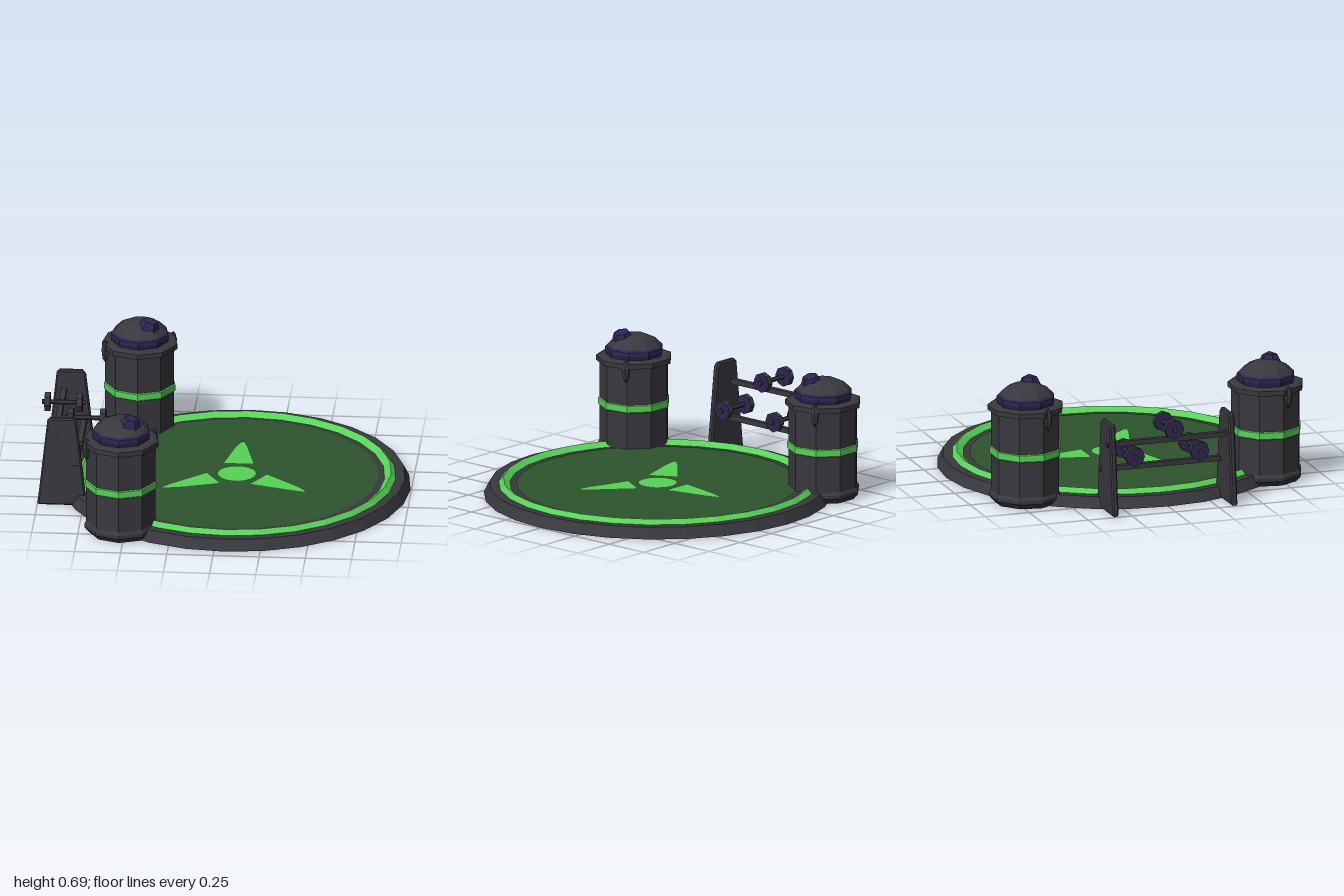
import * as THREE from 'three';

const mat = (name, color) => {
  const m = new THREE.MeshStandardMaterial({ color, flatShading: true });
  m.name = name;
  return m;
};

export function createModel() {
  const grey = mat('dark grey metal', 0x39383e);
  const green = mat('bright green', 0x55d455);
  const floorGreen = mat('dark green', 0x2e552e);
  const purple = mat('deep purple', 0x2f2550);

  const root = new THREE.Group();
  root.name = 'trainingPlatform';

  const add = (parent, name, geometry, material, x = 0, y = 0, z = 0) => {
    const m = new THREE.Mesh(geometry, material);
    m.name = name;
    m.position.set(x, y, z);
    parent.add(m);
    return m;
  };
  const lathe = (points, sides) =>
    new THREE.LatheGeometry(points.map(([r, y]) => new THREE.Vector2(r, y)), sides);
  const group = (name, x, y, z) => {
    const g = new THREE.Group();
    g.name = name;
    g.position.set(x, y, z);
    root.add(g);
    return g;
  };

  // Round platform with a raised ridge and a floor disc
  const platform = group('platform', 0.055, 0, 0);
  add(platform, 'base', lathe([[0, 0], [0.94, 0], [0.91, 0.06], [0, 0.06]], 28), grey);
  add(platform, 'ridge', lathe([[0.86, 0.06], [0.835, 0.086], [0.8, 0.06]], 28), green);
  add(platform, 'floor', new THREE.CircleGeometry(0.765, 28).rotateX(-Math.PI / 2), floorGreen, 0, 0.063);

  // Three-bladed floor emblem
  add(platform, 'emblemHub', new THREE.CircleGeometry(0.106, 18).rotateX(-Math.PI / 2), green, 0, 0.067);
  const blade = new THREE.Shape([
    [-0.083, 0.14], [0.083, 0.14], [0.032, 0.37], [0.012, 0.435],
    [0, 0.45], [-0.012, 0.435], [-0.035, 0.37],
  ].map(([x, y]) => new THREE.Vector2(x, y)));
  const bladeGeo = new THREE.ShapeGeometry(blade).rotateX(-Math.PI / 2);
  for (let i = 0; i < 3; i++) {
    add(platform, 'emblemBlade', bladeGeo, green, 0, 0.067).rotation.y = i * Math.PI * 2 / 3;
  }

  // Two identical pillars
  const bodyGeo = lathe([[0, 0], [0.175, 0], [0.2, 0.03], [0.2, 0.05], [0.19, 0.065], [0.19, 0.52]], 9);
  const bandGeo = lathe([[0.188, 0.262], [0.196, 0.268], [0.196, 0.303], [0.188, 0.309]], 9);
  const rimGeo = lathe([[0.18, 0.508], [0.208, 0.512], [0.208, 0.54], [0.19, 0.548], [0, 0.548]], 9);
  const collarGeo = lathe([[0.152, 0.54], [0.16, 0.57], [0.158, 0.59], [0.148, 0.6]], 9);
  const domeGeo = lathe([[0.15, 0.598], [0.115, 0.632], [0.065, 0.655], [0, 0.663]], 9);
  const fangGeo = lathe([[0, -0.07], [0.016, -0.045], [0.023, 0.01], [0.013, 0.045], [0, 0.06]], 6);
  for (const z of [0.687, -0.687]) {
    const pillar = group('pillar', -0.52, 0, z);
    add(pillar, 'pillarBody', bodyGeo, grey);
    add(pillar, 'pillarBand', bandGeo, green);
    add(pillar, 'pillarRim', rimGeo, grey);
    add(pillar, 'pillarCollar', collarGeo, purple);
    add(pillar, 'pillarDome', domeGeo, grey);
    add(pillar, 'pillarKnob', new THREE.SphereGeometry(0.06, 6, 4), purple, 0.05, 0.633, 0.04)
      .rotation.z = -0.25;
    for (const [x, fz] of [[0.172, -0.093], [-0.184, 0.062]]) {
      add(pillar, 'rimSpike', fangGeo, grey, x, 0.502, fz);
    }
  }

  // Weight rack: two tapered side plates joined by two rails
  const rack = group('weightRack', 0, 0, 0);
  const outline = new THREE.Shape([
    [-0.99, 0.01], [-0.985, 0.008], [-0.75, 0.008], [-0.742, 0.016],
    [-0.795, 0.48], [-0.81, 0.497], [-0.925, 0.497], [-0.938, 0.485],
  ].map(([x, y]) => new THREE.Vector2(x, y)));
  const plateGeo = new THREE.ExtrudeGeometry(outline, {
    depth: 0.018, bevelEnabled: true, bevelSize: 0.008, bevelThickness: 0.008, bevelSegments: 1,
  }).translate(0, 0, -0.009);
  for (const side of [1, -1]) add(rack, 'rackSide', plateGeo, grey, 0, 0, side * 0.34);
  for (const [x, y] of [[-0.905, 0.385], [-0.795, 0.22]]) {
    add(rack, 'rackRail', new THREE.BoxGeometry(0.03, 0.028, 0.725), grey, x, y, 0);
  }

  // Dumbbells lying across the rails
  const handleGeo = new THREE.CylinderGeometry(0.013, 0.013, 0.235, 6).rotateZ(Math.PI / 2);
  const weightGeo = new THREE.CylinderGeometry(0.055, 0.055, 0.03, 8).rotateZ(Math.PI / 2);
  for (const [x, y, z] of [[-0.882, 0.455, 0], [-0.77, 0.29, 0.185], [-0.77, 0.29, -0.185]]) {
    const bell = group('dumbbell', x, y, z);
    add(bell, 'dumbbellHandle', handleGeo, grey);
    for (const side of [1, -1]) {
      add(bell, 'dumbbellWeight', weightGeo, [grey, purple, purple], side * 0.087);
    }
  }

  return root;
}
